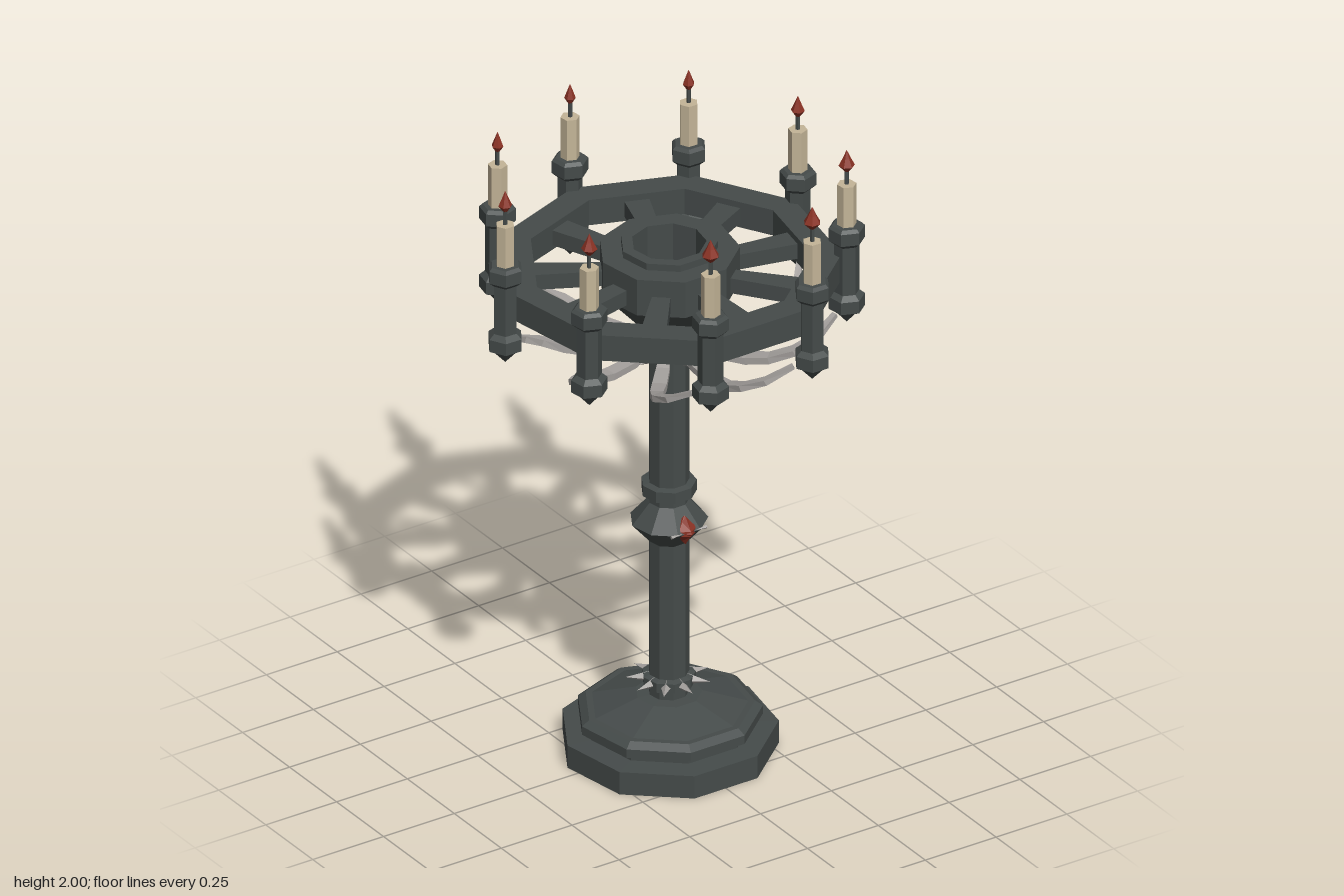
import * as THREE from 'three';

const SIDES = 9;
const STEP = (Math.PI * 2) / SIDES;

const iron = new THREE.MeshStandardMaterial({ color: 0x454b4a });
const silver = new THREE.MeshStandardMaterial({ color: 0xa5a19e });
const wax = new THREE.MeshStandardMaterial({ color: 0xc4b598 });
const red = new THREE.MeshStandardMaterial({ color: 0x8a3224 });
iron.name = 'dark iron';
silver.name = 'silver';
wax.name = 'candle wax';
red.name = 'red flame and gem';

// Faceted mesh: unshared corners with one normal per face
function part(name, geometry, material) {
  const flat = geometry.index ? geometry.toNonIndexed() : geometry;
  flat.computeVertexNormals();
  const mesh = new THREE.Mesh(flat, material);
  mesh.name = name;
  return mesh;
}

// Faceted turned shape from [radius, height] pairs, outer side running upward
function turned(name, profile, material, sides = SIDES, start = Math.PI) {
  const points = profile.map(([r, y]) => new THREE.Vector2(r, y));
  return part(name, new THREE.LatheGeometry(points, sides, start), material);
}

// Square-section strip through [radius, angle, height, halfWidth, halfThickness] stations
function strip(stations) {
  const centres = stations.map(([r, a, y]) => new THREE.Vector3(r * Math.sin(a), y, r * Math.cos(a)));
  const up = new THREE.Vector3(0, 1, 0);
  const pos = [];
  const index = [];
  stations.forEach(([, , , w, t], i) => {
    const along = centres[Math.min(i + 1, centres.length - 1)].clone()
      .sub(centres[Math.max(i - 1, 0)]).normalize();
    const side = new THREE.Vector3().crossVectors(up, along).normalize();
    const top = new THREE.Vector3().crossVectors(along, side);
    for (const [u, v] of [[-1, -1], [1, -1], [1, 1], [-1, 1]]) {
      const p = centres[i].clone().addScaledVector(side, u * w).addScaledVector(top, v * t);
      pos.push(p.x, p.y, p.z);
    }
  });
  const last = (stations.length - 1) * 4;
  for (let i = 0; i < last; i += 4) {
    for (let j = 0; j < 4; j++) {
      const k = (j + 1) % 4;
      index.push(i + j, i + k, i + 4 + k, i + j, i + 4 + k, i + 4 + j);
    }
  }
  index.push(0, 2, 1, 0, 3, 2, last, last + 1, last + 2, last, last + 2, last + 3);
  const g = new THREE.BufferGeometry();
  g.setAttribute('position', new THREE.Float32BufferAttribute(pos, 3));
  g.setIndex(index);
  return g;
}

// Star of spikes around the column
function spikeCollar(name, y) {
  const group = new THREE.Group();
  group.name = name;
  for (let i = 0; i < SIDES; i++) {
    const g = new THREE.ConeGeometry(0.02, 0.075, 4);
    g.rotateX(Math.PI / 2);
    g.translate(0, 0, 0.09);
    g.rotateY(i * STEP);
    const spike = part('spike', g, silver);
    spike.position.y = y;
    group.add(spike);
  }
  return group;
}

// Holder, candle, wick and flame
function candleHolder(i) {
  const group = new THREE.Group();
  group.name = 'candleHolder';
  group.add(turned('holder', [
    [0, 1.415], [0.036, 1.455], [0.055, 1.465], [0.055, 1.505], [0.038, 1.52],
    [0.038, 1.68], [0.055, 1.695], [0.055, 1.735], [0.045, 1.745], [0, 1.745],
  ], iron, 6, 0));
  group.add(turned('candle', [[0.029, 1.74], [0.029, 1.88], [0, 1.88]], wax, 6, 0));
  group.add(turned('wick', [[0.007, 1.88], [0.007, 1.93]], iron, 5, 0));
  const size = 0.022 + 0.005 * Math.cos(i * STEP + STEP / 2);
  group.add(turned('flame', [
    [0, 1.915], [size, 1.943], [size * 0.5, 1.967], [0, 1.98 + size * 0.6],
  ], red, 6, i));
  return group;
}

export function createModel() {
  const model = new THREE.Group();
  model.name = 'candelabrum';

  // Stepped foot
  model.add(turned('base', [
    [0, 0], [0.325, 0], [0.325, 0.075], [0.25, 0.077], [0.25, 0.092], [0.278, 0.1],
    [0.278, 0.128], [0.255, 0.145], [0.235, 0.145], [0.1, 0.185], [0.06, 0.187],
  ], iron));

  // Column with its collars and central knop
  model.add(turned('column', [
    [0.061, 0.18], [0.061, 0.215], [0.08, 0.22], [0.08, 0.25], [0.061, 0.255],
    [0.061, 0.705], [0.117, 0.77], [0.061, 0.835], [0.061, 0.858], [0.083, 0.862],
    [0.083, 0.898], [0.061, 0.902], [0.061, 1.43],
  ], iron));
  model.add(spikeCollar('lowerSpikes', 0.237));
  model.add(spikeCollar('upperSpikes', 1.335));

  // Gem on the front of the knop, with side prongs
  const gem = part('gem', new THREE.OctahedronGeometry(1), red);
  gem.scale.set(0.038, 0.047, 0.034);
  gem.position.set(0, 0.77, 0.09);
  const mountedGem = turned('gemBody', [[0, -0.047], [0.036, -0.008], [0.036, 0.008], [0, 0.047]], red, 6, 0);
  mountedGem.position.set(0, 0.77, 0.083);
  model.add(gem, mountedGem);
  for (const s of [-1, 1]) {
    const prong = part('gemProng', new THREE.ConeGeometry(0.006, 0.04, 4), silver);
    prong.rotation.z = s * Math.PI / 2;
    prong.position.set(s * 0.042, 0.772, 0.108);
    model.add(prong);
  }

  // Flared hub with an open well
  model.add(turned('hub', [
    [0.055, 1.4], [0.09, 1.415], [0.105, 1.45], [0.2, 1.555], [0.211, 1.56], [0.211, 1.68],
    [0.146, 1.68], [0.146, 1.702], [0.112, 1.702], [0.112, 1.58], [0, 1.58],
  ], iron));

  // Outer ring
  model.add(turned('ring', [
    [0.511, 1.56], [0.511, 1.645], [0.423, 1.645], [0.423, 1.56], [0.511, 1.56],
  ], iron));

  for (let i = 0; i < SIDES; i++) {
    const angle = i * STEP;

    // Spoke from hub to ring
    const spoke = part('spoke', strip([
      [0.19, 0, 1.6, 0.027, 0.025], [0.42, 0, 1.6, 0.039, 0.025],
    ]), iron);
    spoke.rotation.y = angle;
    model.add(spoke);

    // Curved bracket sweeping under the spoke to the holder
    const bracket = part('bracket', strip([
      [0.055, 0, 1.41, 0.006, 0.005], [0.09, 0, 1.375, 0.014, 0.008],
      [0.15, 0, 1.352, 0.02, 0.01], [0.24, 0, 1.348, 0.022, 0.011],
      [0.31, 0, 1.36, 0.02, 0.011], [0.38, 0.03, 1.388, 0.018, 0.01],
      [0.44, 0.12, 1.42, 0.014, 0.009], [0.49, 0.26, 1.465, 0.008, 0.007],
    ]), silver);
    bracket.rotation.y = angle;
    model.add(bracket);

    // Candle at each corner of the ring
    const corner = angle + STEP / 2;
    const holder = candleHolder(i);
    holder.position.set(0.525 * Math.sin(corner), 0, 0.525 * Math.cos(corner));
    holder.rotation.y = corner + 0.15;
    model.add(holder);
  }

  // Centre the odd-sided plan front to back
  model.children.forEach((child) => { child.position.z += 0.011; });
  return model;
}
